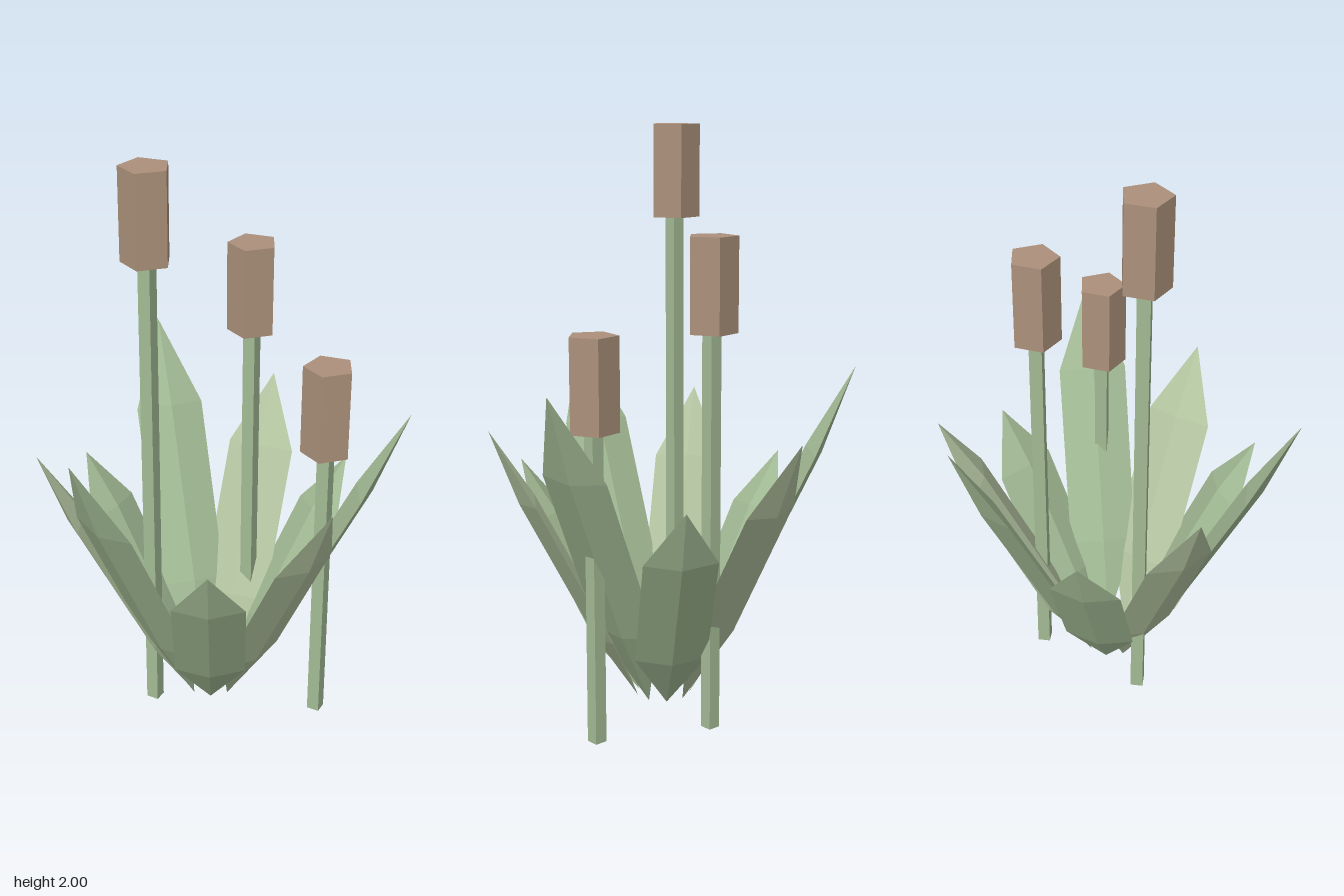
import * as THREE from 'three';

const mat = (color) => new THREE.MeshStandardMaterial({ color, flatShading: true, side: THREE.DoubleSide });
const green = mat(0xa3bb95);
const paleGreen = mat(0xb4c5a1);
const brown = mat(0xac917b);

// Solid leaf blade: two diamond cross-sections, drawn to a point at both ends
function leafGeometry(base, tip, halfWidth, halfThickness) {
  const along = tip.clone().sub(base);
  const side = new THREE.Vector3(along.z, 0, -along.x).normalize();
  const inward = along.clone().cross(side).normalize();
  const at = (t, s, r) => base.clone().addScaledVector(along, t).addScaledVector(side, s).addScaledVector(inward, r);

  const points = [base];
  for (const t of [0.25, 0.755]) {
    points.push(at(t, halfWidth, 0), at(t, 0, halfThickness), at(t, -halfWidth, 0), at(t, 0, -halfThickness));
  }
  points.push(tip);

  const index = [];
  for (let i = 0; i < 4; i++) {
    const a = 1 + i, b = 1 + ((i + 1) % 4);
    index.push(0, b, a, a, b, b + 4, a, b + 4, a + 4, a + 4, b + 4, 9);
  }
  const geometry = new THREE.BufferGeometry().setFromPoints(points);
  geometry.setIndex(index);
  geometry.computeVertexNormals();
  return geometry;
}

// Upright prism between two heights
function prism(name, sides, radius, bottom, top, x, z, material) {
  const mesh = new THREE.Mesh(new THREE.CylinderGeometry(radius, radius, top - bottom, sides), material);
  mesh.name = name;
  mesh.rotation.y = Math.PI;
  mesh.position.set(x, (bottom + top) / 2, z);
  return mesh;
}

export function createModel() {
  const model = new THREE.Group();
  model.name = 'reedPlant';

  // Rosette of nine leaves, cycling tall, medium, short; each entry is the tip's x, z
  const leaves = new THREE.Group();
  leaves.name = 'leaves';
  const heights = [1.21, 1.025, 0.84];
  const tips = [
    [-0.01, -0.602], [0.377, -0.416], [0.532, -0.06],
    [0.579, 0.358], [0.224, 0.6], [-0.165, 0.555],
    [-0.552, 0.388], [-0.58, -0.04], [-0.348, -0.354],
  ];
  const middle = new THREE.Vector3(0, 0.042, 0.045);
  tips.forEach(([x, z], i) => {
    const tip = new THREE.Vector3(x, heights[i % 3], z);
    const base = new THREE.Vector3(x, 0, z - middle.z).setLength(0.092).add(middle);
    const leaf = new THREE.Mesh(leafGeometry(base, tip, 0.122, 0.03), i % 3 === 1 ? paleGreen : green);
    leaf.name = 'leaf' + (i + 1);
    leaves.add(leaf);
  });
  model.add(leaves);

  // Three reeds: square stem with a five-sided brown seed head
  const reeds = [[-0.203, 0.014, 2.0], [0.193, -0.126, 1.66], [0.333, 0.244, 1.36]];
  reeds.forEach(([x, z, top], i) => {
    const reed = new THREE.Group();
    reed.name = 'reed' + (i + 1);
    const neck = top - 0.311;
    reed.add(
      prism('stem', 4, 0.031, 0, neck, x, z, green),
      prism('seedHead', 5, 0.085, neck, top, x, z, brown),
    );
    model.add(reed);
  });

  return model;
}
